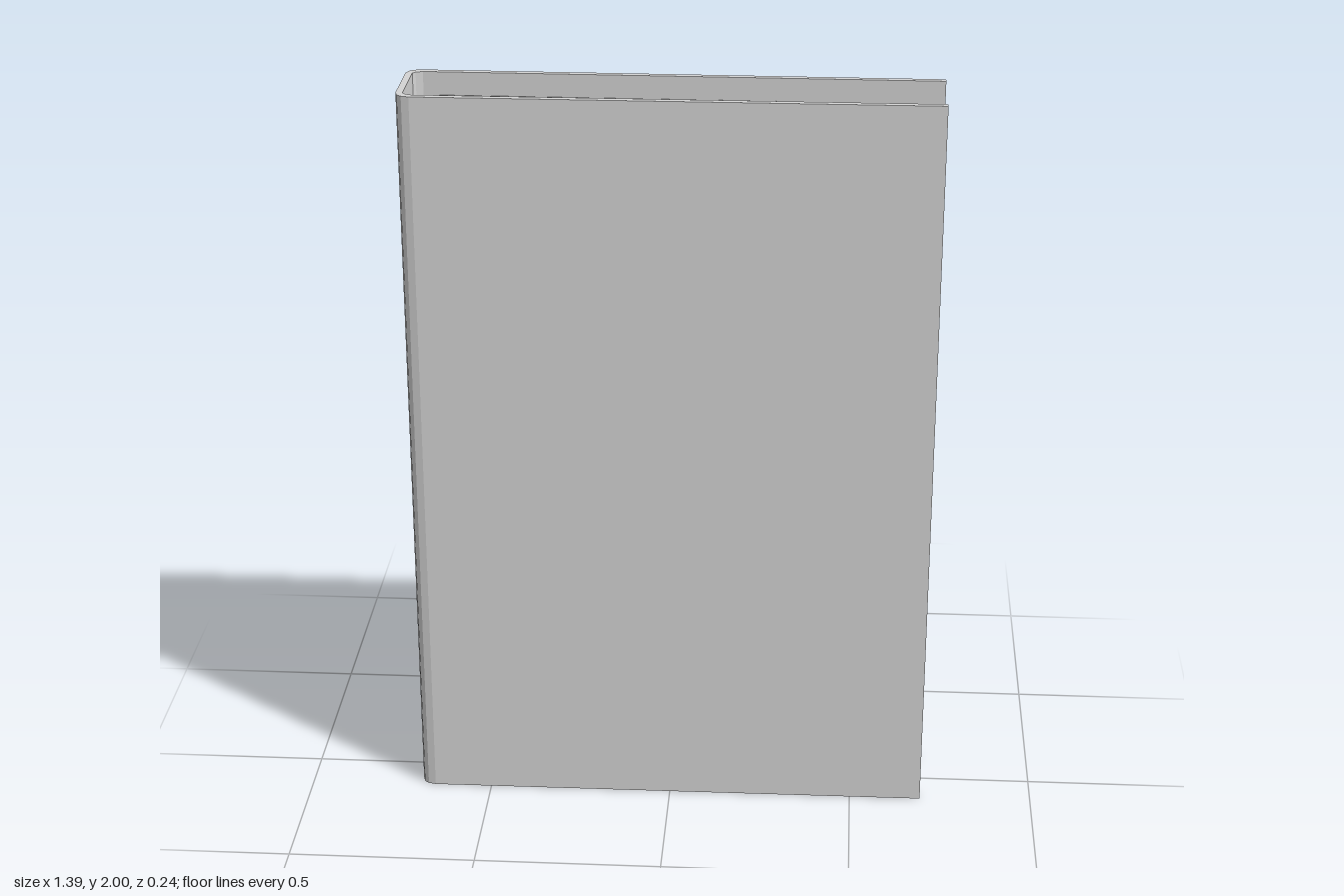
import * as THREE from 'three';

const grey = new THREE.MeshStandardMaterial({ color: 0xd4d4d4 });
grey.name = 'light grey board';

function addMesh(group, name, geometry) {
  const mesh = new THREE.Mesh(geometry, grey);
  mesh.name = name;
  group.add(mesh);
  return mesh;
}

// Outline given as [x, z] points, raised from y = 0 to the given height
function upright(points, height) {
  const shape = new THREE.Shape(points.map(([x, z]) => new THREE.Vector2(x, -z)));
  const geometry = new THREE.ExtrudeGeometry(shape, { depth: height, bevelEnabled: false });
  return geometry.rotateX(-Math.PI / 2);
}

// Cover board with its bend into the spine; side is +1 for the front, -1 for the back
function coverBoard(side, outer, edge, bend) {
  const t = 0.018;
  const points = [
    [0.695, edge], [-0.657, outer], [-0.677, outer - 0.005], [-0.689, outer - 0.015], [-0.695, bend],
    [-0.677, bend], [-0.67, outer - t - 0.007], [-0.652, outer - t], [0.695, edge - t + 0.001],
  ];
  return upright(points.map(([x, z]) => [x, z * side]), 2);
}

export function createModel() {
  const model = new THREE.Group();
  model.name = 'ringBinder';

  // Covers
  addMesh(model, 'frontCover', coverBoard(1, 0.116, 0.11, 0.08));
  addMesh(model, 'backCover', coverBoard(-1, 0.124, 0.12, 0.09));

  // Spine with finger hole
  const spineShape = new THREE.Shape();
  spineShape.moveTo(-0.09, 0).lineTo(0.08, 0).lineTo(0.08, 2).lineTo(-0.09, 2).closePath();
  const hole = new THREE.Path();
  hole.absarc(-0.003, 0.513, 0.071, 0, Math.PI * 2, true);
  spineShape.holes.push(hole);
  const spine = new THREE.ExtrudeGeometry(spineShape, { depth: 0.018, bevelEnabled: false, curveSegments: 16 });
  spine.rotateY(-Math.PI / 2).translate(-0.677, 0, 0);
  addMesh(model, 'spine', spine);

  // Staggered paper stacks: x from, x to, z from, z to, bottom at spine, bottom at edge, top
  const paper = new THREE.Group();
  paper.name = 'paper';
  model.add(paper);
  [
    [-0.61, 0.602, -0.099, -0.064, 0.012, 0.03, 1.94],
    [-0.596, 0.619, -0.064, -0.028, 0.04, 0.04, 1.95],
    [-0.61, 0.602, -0.028, 0.019, 0.02, 0.02, 1.93],
    [-0.596, 0.619, 0.019, 0.051, 0.012, 0.03, 1.94],
  ].forEach(([x0, x1, z0, z1, b0, b1, top]) => {
    const sheet = new THREE.Shape();
    sheet.moveTo(x0, b0).lineTo(x1, b1).lineTo(x1, top).lineTo(x0, top).closePath();
    const geometry = new THREE.ExtrudeGeometry(sheet, { depth: z1 - z0, bevelEnabled: false });
    addMesh(paper, 'paperStack', geometry.translate(0, 0, z0));
  });

  // Three arched rings fixed to the back cover
  const bends = [
    [-0.63, -0.108], [-0.63, 0.035], [-0.612, 0.07], [-0.578, 0.086],
    [-0.543, 0.07], [-0.523, 0.035], [-0.523, -0.108],
  ].map(([x, z]) => new THREE.Vector3(x, 0, z));
  const path = new THREE.CurvePath();
  for (let i = 1; i < bends.length; i++) path.add(new THREE.LineCurve3(bends[i - 1], bends[i]));
  const ring = new THREE.TubeGeometry(path, 48, 0.009, 8);
  [0.26, 1.045, 1.75].forEach((y) => {
    addMesh(model, 'ring', ring).position.y = y;
  });

  return model;
}
